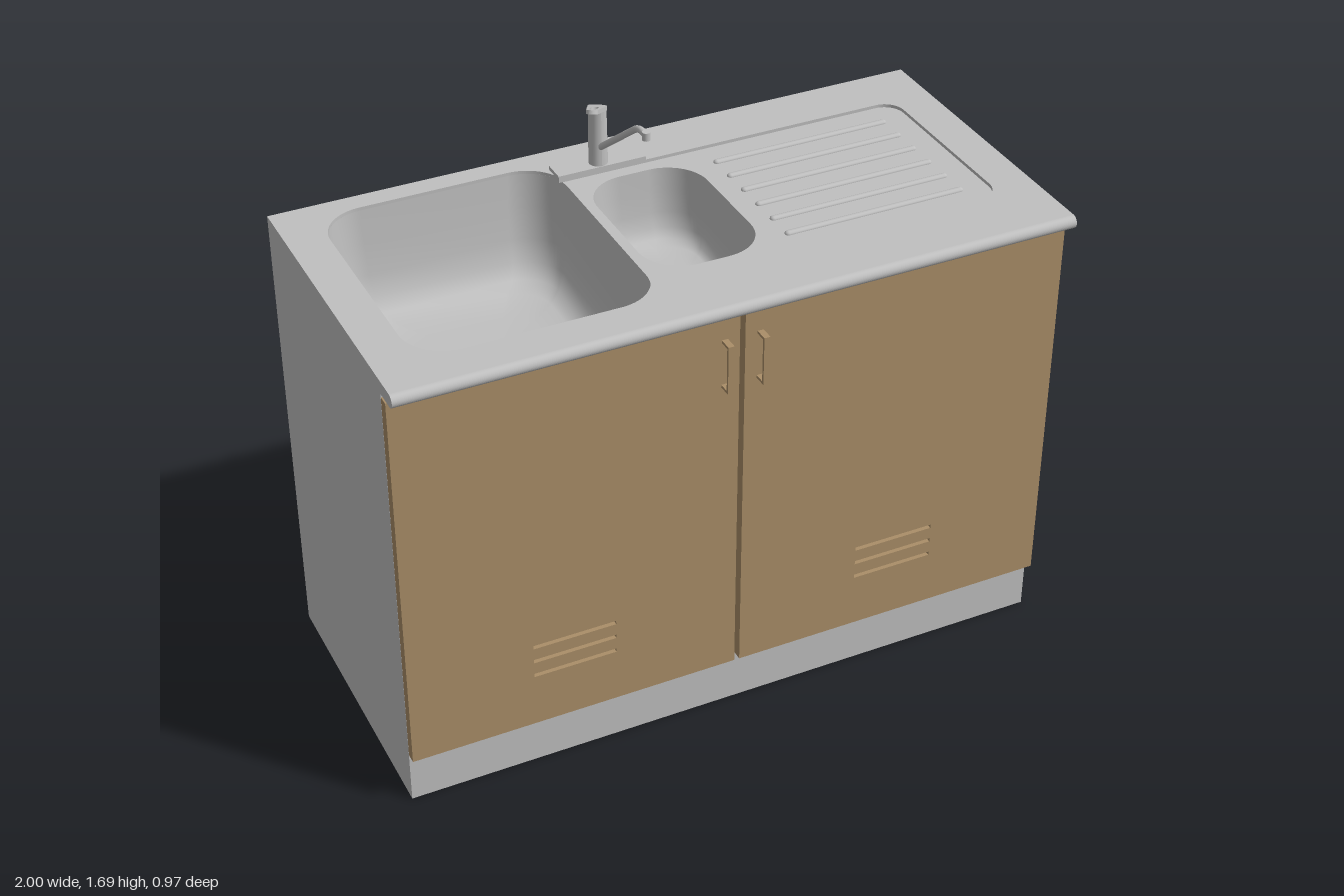
import * as THREE from 'three';

const PI = Math.PI;
const DECK = 1.41; // level of the recessed drainer; the rim is 0.01 higher

export function createModel() {
  const steel = new THREE.MeshStandardMaterial({ color: 0xc0c0c0, side: THREE.DoubleSide });
  steel.name = 'steelGrey';
  const wood = new THREE.MeshStandardMaterial({ color: 0xaa8e68 });
  wood.name = 'woodBrown';

  const model = new THREE.Group();
  model.name = 'sinkUnit';

  const add = (name, geometry, material = steel, parent = model) => {
    const mesh = new THREE.Mesh(geometry, material);
    mesh.name = name;
    parent.add(mesh);
    return mesh;
  };
  // box given by its limits
  const box = (name, x0, x1, y0, y1, z0, z1, material, parent) => {
    const g = new THREE.BoxGeometry(x1 - x0, y1 - y0, z1 - z0);
    g.translate((x0 + x1) / 2, (y0 + y1) / 2, (z0 + z1) / 2);
    return add(name, g, material, parent);
  };
  // plan shapes use (x, -z); lay them down so that depth becomes height
  const layFlat = (g, y) => g.rotateX(-PI / 2).translate(0, y, 0);
  const rectPath = (path, x0, x1, y0, y1) =>
    path.moveTo(x0, y0).lineTo(x1, y0).lineTo(x1, y1).lineTo(x0, y1).closePath();

  // ---- cabinet carcass ----
  for (const s of [-1, 1]) {
    box(s > 0 ? 'leftSide' : 'rightSide', Math.min(s, s * 0.98), Math.max(s, s * 0.98), 0, DECK, -0.485, 0.4);
  }
  box('backPanel', -0.98, 0.98, 0.165, DECK, -0.485, -0.47);
  box('cabinetFloor', -0.98, 0.98, 0.165, 0.185, -0.47, 0.4);
  box('kickBoard', -0.98, 0.98, 0, 0.165, 0.38, 0.4);

  // ---- doors with vent slots and bar handles ----
  for (const s of [-1, 1]) {
    const side = s > 0 ? 'left' : 'right';
    const span = (a, b) => (s > 0 ? [a, b] : [-b, -a]);
    const door = new THREE.Shape();
    rectPath(door, ...span(0.008, 1), 0.165, 1.37);
    for (const y of [0.34, 0.39, 0.44]) {
      door.holes.push(rectPath(new THREE.Path(), ...span(0.38, 0.63), y - 0.006, y + 0.006));
    }
    add(side + 'Door', new THREE.ExtrudeGeometry(door, { depth: 0.031, bevelEnabled: false }).translate(0, 0, 0.401), wood);

    const handle = new THREE.Group();
    handle.name = side + 'Handle';
    model.add(handle);
    const [hx0, hx1] = span(0.044, 0.062);
    box('handleBar', hx0, hx1, 1.14, 1.29, 0.464, 0.472, wood, handle);
    for (const y of [1.14, 1.282]) box('handleFoot', hx0, hx1, y, y + 0.008, 0.432, 0.464, wood, handle);
  }

  // ---- worktop: rim sheet, recessed drainer, rounded front edge ----
  const R = 0.13; // big bowl corner radius
  const drainerEdge = (p) => p.moveTo(-0.197, -0.28).lineTo(0.82, -0.28)
    .absarc(0.82, -0.22, 0.06, -PI / 2, 0).absarc(0.82, 0.26, 0.06, 0, PI / 2).lineTo(-0.1885, 0.32);

  const rim = new THREE.Shape();
  rectPath(rim, -1, 1, -0.4, 0.485);
  rim.holes.push(drainerEdge(new THREE.Path())
    .absarc(-0.315, 0.29, R, 0.233, PI / 2).absarc(-0.755, 0.29, R, PI / 2, PI)
    .absarc(-0.755, -0.225, R, PI, 1.5 * PI).absarc(-0.315, -0.225, R, -PI / 2, -0.437));
  add('worktopRim', layFlat(new THREE.ExtrudeGeometry(rim, { depth: 0.01, bevelEnabled: false, curveSegments: 16 }), DECK));

  const small = { x0: -0.155, x1: 0.185, y0: -0.235, y1: 0.28, r: 0.125 };
  const big = { x0: -0.885, x1: -0.185, y0: -0.355, y1: 0.42, r: R };
  // rounded rectangle outline, counter-clockwise
  const ring = ({ x0, x1, y0, y1, r }, n = 16) => {
    const corners = [[x1 - r, y1 - r], [x0 + r, y1 - r], [x0 + r, y0 + r], [x1 - r, y0 + r]];
    return corners.flatMap(([cx, cy], q) => Array.from({ length: n + 1 }, (_, i) => {
      const a = (q + i / n) * PI / 2;
      return new THREE.Vector2(cx + r * Math.cos(a), cy + r * Math.sin(a));
    }));
  };

  const drainer = drainerEdge(new THREE.Shape())
    .absarc(-0.315, 0.29, R, 0.233, 0, true).absarc(-0.315, -0.225, R, 0, -0.437, true);
  drainer.holes.push(new THREE.Path(ring(small)));
  add('drainer', layFlat(new THREE.ShapeGeometry(drainer, 16), DECK));

  const nose = new THREE.Shape().moveTo(0.4, 1.38).lineTo(0.465, 1.38)
    .absarc(0.465, 1.4, 0.02, -PI / 2, PI / 2).lineTo(0.4, 1.42).closePath();
  const noseGeo = new THREE.ExtrudeGeometry(nose, { depth: 2, bevelEnabled: false, curveSegments: 12 });
  add('frontEdge', noseGeo.rotateY(-PI / 2).scale(1, 1, 1).translate(1, 0, 0));

  // half-round drainer ribs
  for (let i = 0; i < 6; i++) {
    const g = new THREE.CapsuleGeometry(0.011, 0.54, 6, 12).rotateZ(PI / 2).scale(1, 0.8, 1);
    add('drainerRib', g.translate(0.525, DECK, -0.235 + i * 0.087));
  }

  // ---- bowls: the outline shrinks towards the bottom ----
  const bowl = (name, outline, depth) => {
    const pts = ring(outline), n = pts.length;
    const cx = (outline.x0 + outline.x1) / 2, cy = (outline.y0 + outline.y1) / 2;
    const rows = [[1, 0], [0.985, 0.3], [0.965, 0.6], [0.93, 0.8], [0.86, 0.92], [0.75, 0.975], [0.5, 0.99], [0.001, 1]];
    const pos = [], idx = [];
    rows.forEach(([s, t], k) => {
      for (const p of pts) pos.push(cx + (p.x - cx) * s, DECK - depth * t, -(cy + (p.y - cy) * s));
      if (k === rows.length - 1) return;
      for (let j = 0; j < n; j++) {
        const a = k * n + j, b = k * n + (j + 1) % n;
        idx.push(a, b, a + n, b, b + n, a + n);
      }
    });
    const g = new THREE.BufferGeometry();
    g.setAttribute('position', new THREE.Float32BufferAttribute(pos, 3));
    g.setIndex(idx);
    g.computeVertexNormals();
    add(name, g);
  };
  bowl('mainBowl', big, 0.34);
  bowl('smallBowl', small, 0.23);

  // ---- mixer tap ----
  const tap = new THREE.Group();
  tap.name = 'tap';
  model.add(tap);
  const tx = -0.065, tz = -0.348;
  box('tapPlate', -0.2, 0.07, 1.412, 1.432, -0.388, -0.318, steel, tap);

  // body with a top sloping down to the back
  const body = new THREE.CylinderGeometry(0.026, 0.028, 0.17, 24).translate(0, 0.085, 0);
  const bp = body.attributes.position;
  for (let i = 0; i < bp.count; i++) {
    if (bp.getY(i) > 0.1) bp.setY(i, 0.172 + bp.getZ(i) * 0.45);
  }
  body.computeVertexNormals();
  add('tapBody', body.translate(tx, 1.432, tz), steel, tap);

  // looped lever
  const lever = new THREE.Shape().absarc(0, 0, 0.027, 0, PI).lineTo(-0.017, -0.1)
    .absarc(0, -0.1, 0.017, PI, 2 * PI).closePath();
  lever.holes.push(new THREE.Path().absarc(0, -0.045, 0.011, 0, PI).absarc(0, -0.095, 0.009, PI, 2 * PI));
  const leverMesh = add('tapLever', layFlat(new THREE.ExtrudeGeometry(lever,
    { depth: 0.012, bevelEnabled: false, curveSegments: 12 }), 0), steel, tap);
  leverMesh.position.set(tx, 1.598, tz);
  leverMesh.rotation.set(-0.38, -0.57, 0, 'YXZ');

  // swan spout rising to the front, with a short outlet
  const spout = new THREE.CurvePath();
  const v = (y, z) => new THREE.Vector3(tx, y, z);
  spout.add(new THREE.LineCurve3(v(1.485, -0.335), v(1.655, -0.105)));
  spout.add(new THREE.QuadraticBezierCurve3(v(1.655, -0.105), v(1.678, -0.075), v(1.678, -0.05)));
  spout.add(new THREE.LineCurve3(v(1.678, -0.05), v(1.678, -0.018)));
  add('tapSpout', new THREE.TubeGeometry(spout, 40, 0.01, 12), steel, tap);
  add('tapOutlet', new THREE.CylinderGeometry(0.012, 0.012, 0.024, 16).translate(tx, 1.677, -0.025), steel, tap);

  return model;
}
